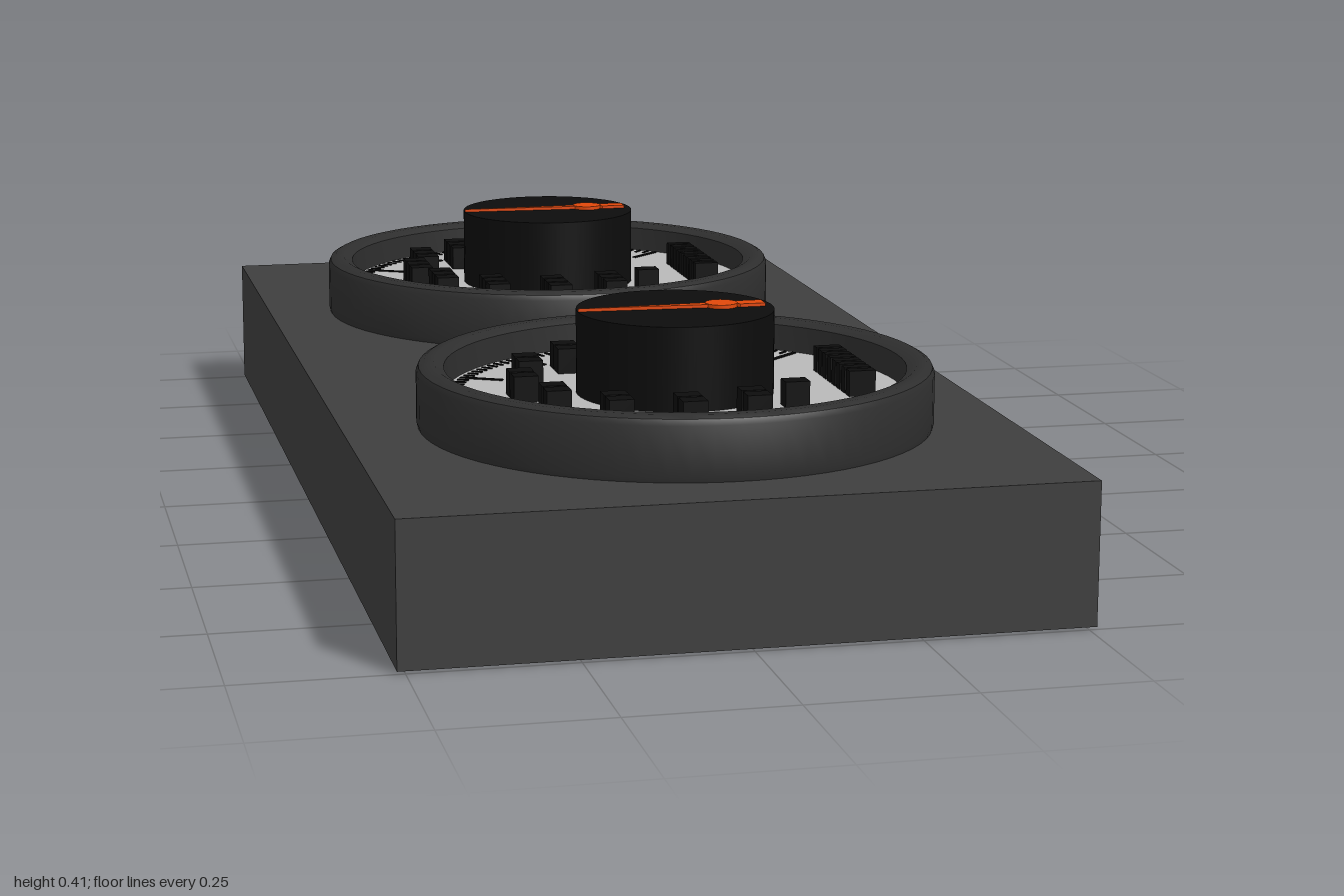
import * as THREE from 'three';
import { mergeGeometries, toCreasedNormals } from 'three/addons/utils/BufferGeometryUtils.js';

const mat = (color) => new THREE.MeshStandardMaterial({ color });
const bodyMat = mat(0x3e3e3e);
const rimMat = mat(0x2e2e2e);
const faceMat = mat(0xb8b8b8);
const blackMat = mat(0x0c0c0c);
const needleMat = mat(0xe0480a);

const FACE_Y = 0.27;
const KNOB_Y = 0.4;
const STEP = THREE.MathUtils.degToRad(27.5);

function part(parent, name, geometry, material, x = 0, y = 0, z = 0) {
  const mesh = new THREE.Mesh(geometry, material);
  mesh.name = name;
  mesh.position.set(x, y, z);
  parent.add(mesh);
  return mesh;
}

const block = (w, h, d, x, y, z) => new THREE.BoxGeometry(w, h, d).translate(x, y, z);

// Raised ring with a bevelled outer edge
function rimGeometry() {
  const profile = [
    [0.355, 0.222], [0.398, 0.222], [0.4, 0.23], [0.4, 0.306], [0.396, 0.315],
    [0.387, 0.32], [0.372, 0.32], [0.357, 0.312], [0.355, 0.265],
  ].map(([x, y]) => new THREE.Vector2(x, y));
  return toCreasedNormals(new THREE.LatheGeometry(profile, 72), 0.6);
}

// Long tick on each division, nine short ones between
function tickGeometry() {
  const ticks = [];
  for (let i = -50; i <= 50; i++) {
    const major = i % 10 === 0;
    const length = major ? 0.07 : 0.018;
    ticks.push(block(length, 0.002, major ? 0.007 : 0.004, 0.348 - length / 2, FACE_Y + 0.001, 0)
      .rotateY(Math.PI + (i * STEP) / 10));
  }
  return mergeGeometries(ticks);
}

// Plain raised blocks in place of the scale figures, set side by side along z
function figureGeometry(digitsAt) {
  const blocks = [];
  for (let i = -5; i <= 5; i++) {
    const a = Math.PI + i * STEP;
    const r = 0.222 - 0.018 * Math.cos(a);
    const count = digitsAt(i);
    for (let k = 0; k < count; k++) {
      const z = -Math.sin(a) * r + (k - (count - 1) / 2) * 0.036;
      blocks.push(block(0.038, 0.04, 0.03, Math.cos(a) * r, FACE_Y + 0.02, z));
    }
  }
  return mergeGeometries(blocks);
}

// Row of narrow blocks in place of the caption
function captionGeometry(count) {
  const blocks = [];
  for (let k = 0; k < count; k++) {
    blocks.push(block(0.042, 0.04, 0.019, 0.272, FACE_Y + 0.02, (k - (count - 1) / 2) * 0.026));
  }
  return mergeGeometries(blocks);
}

// Small open rectangle at the start of the scale
function markerGeometry() {
  const outline = new THREE.Shape();
  outline.moveTo(-0.032, -0.018).lineTo(0.032, -0.018).lineTo(0.032, 0.018).lineTo(-0.032, 0.018);
  const hole = new THREE.Path();
  hole.moveTo(-0.025, -0.011).lineTo(-0.025, 0.011).lineTo(0.025, 0.011).lineTo(0.025, -0.011);
  outline.holes.push(hole);
  return new THREE.ExtrudeGeometry(outline, { depth: 0.004, bevelEnabled: false })
    .rotateX(-Math.PI / 2).rotateY(Math.PI / 4);
}

// Tapered needle with a block tail
function needleGeometry() {
  const s = new THREE.Shape();
  s.moveTo(-0.153, 0).lineTo(0.06, -0.009).lineTo(0.095, -0.008).lineTo(0.1, -0.014)
    .lineTo(0.14, -0.014).lineTo(0.14, 0.014).lineTo(0.1, 0.014).lineTo(0.095, 0.008).lineTo(0.06, 0.009);
  return new THREE.ExtrudeGeometry(s, { depth: 0.005, bevelEnabled: false }).rotateX(-Math.PI / 2);
}

function makeDial(name, x, z, digitsAt, captionCount) {
  const dial = new THREE.Group();
  dial.name = name;
  dial.position.set(x, 0, z);
  part(dial, 'rim', rimGeometry(), rimMat);
  part(dial, 'dialFace', new THREE.CylinderGeometry(0.357, 0.357, 0.04, 72), faceMat, 0, FACE_Y - 0.02);
  part(dial, 'ticks', tickGeometry(), blackMat);
  part(dial, 'scaleBlocks', figureGeometry(digitsAt), blackMat);
  part(dial, 'captionBlocks', captionGeometry(captionCount), blackMat);
  part(dial, 'startMarker', markerGeometry(), blackMat, 0.24, FACE_Y, 0.215);
  part(dial, 'knob', new THREE.CylinderGeometry(0.153, 0.153, KNOB_Y - FACE_Y + 0.02, 64), blackMat,
    0, (KNOB_Y + FACE_Y - 0.02) / 2);
  part(dial, 'needle', needleGeometry(), needleMat, 0, KNOB_Y);
  part(dial, 'needleHub', new THREE.CylinderGeometry(0.025, 0.025, 0.006, 32), needleMat, 0.073, KNOB_Y + 0.003);
  part(dial, 'bottomDisc', new THREE.CylinderGeometry(0.275, 0.275, 0.01, 64), faceMat, 0, 0.005);
  return dial;
}

export function createModel() {
  const model = new THREE.Group();
  model.name = 'twoDialPanel';
  part(model, 'base', new THREE.BoxGeometry(1.024, 0.218, 2), bodyMat, 0, 0.113);
  // The front scale starts with one digit, the rear one is mostly three
  model.add(makeDial('frontDial', 0.002, 0.497, (i) => (i === 5 ? 1 : i === -5 ? 3 : 2), 8));
  model.add(makeDial('rearDial', -0.005, -0.475, (i) => (i === 5 ? 1 : 3), 9));
  return model;
}
